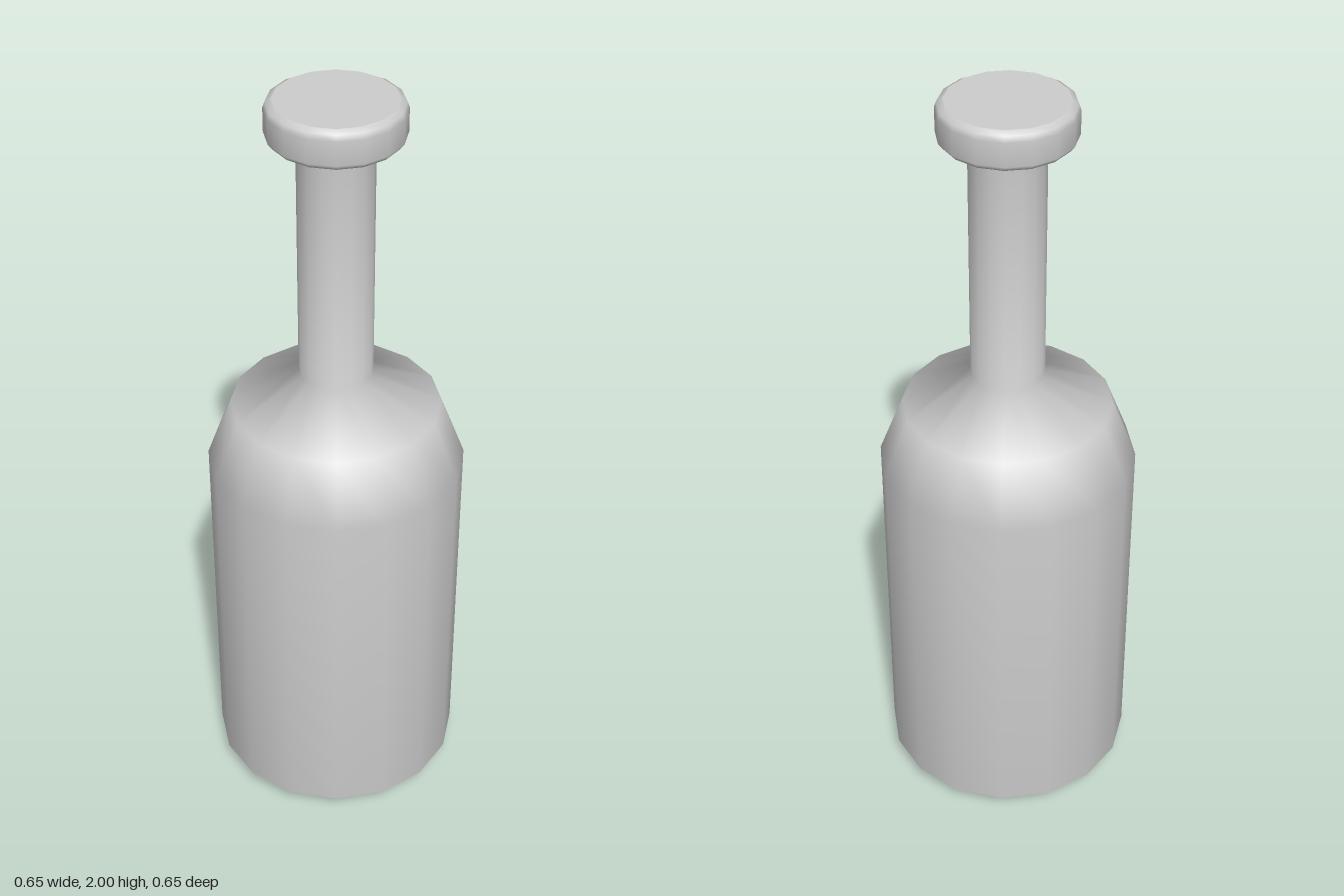
import * as THREE from 'three';

const SIDES = 16;

export function createModel() {
  const grey = new THREE.MeshStandardMaterial({ color: 0xcccccc });
  grey.name = 'light grey';
  const group = new THREE.Group();
  group.name = 'bottle';

  // Smooth turned part from [radius, height] pairs, listed bottom to top
  const turn = (name, profile) => {
    const points = profile.map(([r, y]) => new THREE.Vector2(r, y));
    const mesh = new THREE.Mesh(new THREE.LatheGeometry(points, SIDES), grey);
    mesh.name = name;
    group.add(mesh);
  };

  // Base, body, shoulder and neck in one smooth sweep
  turn('bodyAndNeck', [
    [0, 0], [0.265, 0], [0.327, 0.06], [0.327, 1.01],
    [0.265, 1.17], [0.093, 1.265], [0.093, 1.885], [0.113, 1.905],
  ]);

  // Rounded lip around the mouth
  turn('lip', [
    [0.113, 1.905], [0.156, 1.905], [0.166, 1.918], [0.166, 1.978], [0.161, 1.992], [0.147, 2],
  ]);

  // Flat closed top
  turn('topCap', [[0.147, 2], [0, 2]]);

  return group;
}
